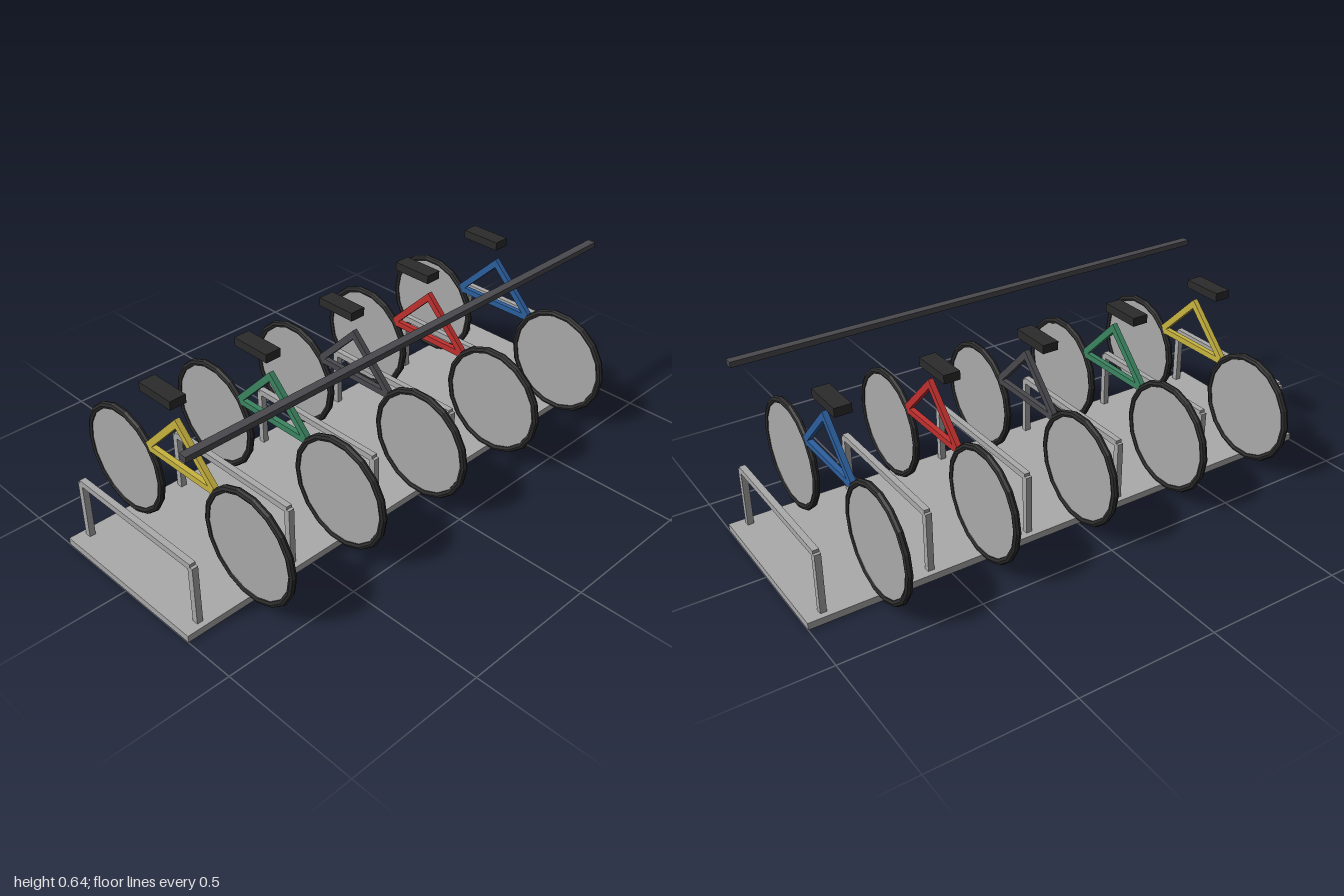
import * as THREE from 'three';

const mat = (name, color) => {
  const m = new THREE.MeshStandardMaterial({ color });
  m.name = name;
  m.flatShading = true;
  return m;
};

export function createModel() {
  const steel = mat('light steel', 0xaaaaaa);
  const rubber = mat('black rubber', 0x2b2b2b);
  const charcoal = mat('charcoal', 0x4a4a4e);
  const frameColours = [
    mat('blue paint', 0x2c5f9e),
    mat('red paint', 0xc0302e),
    charcoal,
    mat('green paint', 0x3c8562),
    mat('yellow paint', 0xc9b440),
  ];

  const model = new THREE.Group();
  model.name = 'bicycleStand';

  const add = (parent, name, geometry, material, x, y, z, turn = 0) => {
    const mesh = new THREE.Mesh(geometry, material);
    mesh.name = name;
    mesh.position.set(x, y, z);
    mesh.rotation.z = turn;
    parent.add(mesh);
    return mesh;
  };
  const box = (w, h, d) => new THREE.BoxGeometry(w, h, d);

  // Base plate and the long overhead rail
  add(model, 'basePlate', box(0.625, 0.025, 2), steel, 0, 0.0125, 0);
  add(model, 'overheadRail', box(0.03, 0.02, 1.875), charcoal, 0.281, 0.627, 0);

  // Six hoops between the bicycles
  const post = box(0.022, 0.215, 0.022);
  const crossbar = box(0.5625, 0.022, 0.022);
  for (let i = 0; i < 6; i++) {
    const hoop = new THREE.Group();
    hoop.name = 'rackHoop';
    hoop.position.z = -0.9375 + i * 0.375;
    for (const s of [-1, 1]) add(hoop, 'hoopPost', post, steel, s * 0.281, 0.1325, 0);
    add(hoop, 'hoopCrossbar', crossbar, steel, 0, 0.24, 0);
    model.add(hoop);
  }

  // Five bicycles with solid wheels, triangular frames and saddles
  const tyre = new THREE.TorusGeometry(0.1915, 0.0128, 8, 18);
  const disc = new THREE.CylinderGeometry(0.1875, 0.1875, 0.0125, 18).rotateX(Math.PI / 2);
  const lowerTube = box(0.325, 0.022, 0.019);
  const slopingTube = box(0.24, 0.0235, 0.019);
  const saddle = box(0.154, 0.031, 0.06);
  frameColours.forEach((paint, i) => {
    const bike = new THREE.Group();
    bike.name = 'bicycle';
    bike.position.z = -0.75 + i * 0.375;
    for (const s of [-1, 1]) {
      add(bike, 'tyre', tyre, rubber, s * 0.3125, 0.22, 0);
      add(bike, 'wheelDisc', disc, steel, s * 0.3125, 0.22, 0);
      add(bike, 'slopingTube', slopingTube, paint, s * 0.0765, 0.437, 0, -s * Math.PI / 4);
    }
    add(bike, 'lowerTube', lowerTube, paint, 0, 0.345, 0);
    add(bike, 'saddle', saddle, rubber, -0.0625, 0.595, 0);
    model.add(bike);
  });

  return model;
}
